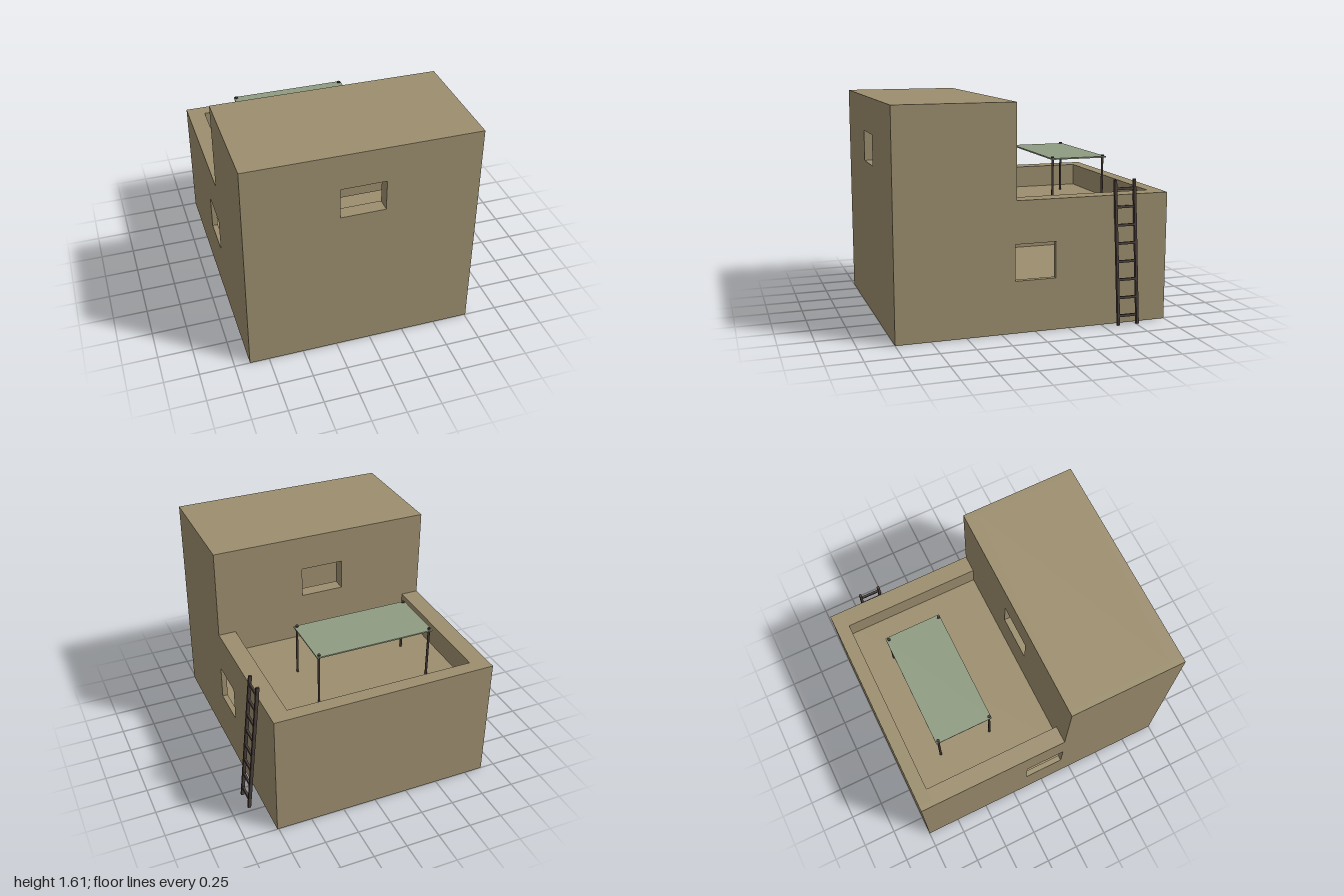
import * as THREE from 'three';

const clay = new THREE.MeshStandardMaterial({ color: 0x9c8e6e });
clay.name = 'clay';
const cloth = new THREE.MeshStandardMaterial({ color: 0x8f9b82 });
cloth.name = 'cloth';
const darkWood = new THREE.MeshStandardMaterial({ color: 0x463c38 });
darkWood.name = 'darkWood';

// House extents
const X0 = -0.89, X1 = 0.76, SKIN = 0.04, WALL = 0.13;
const TERRACE = 0.77, PARAPET = 0.94, TOP = 1.61, STEP = 0.14;

function add(parent, name, geometry, material) {
  const mesh = new THREE.Mesh(geometry, material);
  mesh.name = name;
  parent.add(mesh);
  return mesh;
}

// Box given by its minimum and maximum corners
function block(parent, name, [x0, y0, z0], [x1, y1, z1], material = clay) {
  const g = new THREE.BoxGeometry(x1 - x0, y1 - y0, z1 - z0);
  g.translate((x0 + x1) / 2, (y0 + y1) / 2, (z0 + z1) / 2);
  return add(parent, name, g, material);
}

// Flat wall outline with one rectangular window [u0, v0, u1, v1]
function wallGeometry(outline, [u0, v0, u1, v1], depth) {
  const shape = new THREE.Shape(outline.map(([u, v]) => new THREE.Vector2(u, v)));
  const hole = [[u0, v0], [u0, v1], [u1, v1], [u1, v0]];
  shape.holes.push(new THREE.Path(hole.map(([u, v]) => new THREE.Vector2(u, v))));
  return new THREE.ExtrudeGeometry(shape, { depth, bevelEnabled: false });
}

function createHouse() {
  const house = new THREE.Group();
  house.name = 'house';
  const in0 = X0 + SKIN, in1 = X1 - SKIN;

  // Stepped side walls
  const profile = [[-1, 0], [1, 0], [1, TOP], [STEP, TOP], [STEP, PARAPET], [-1, PARAPET]];
  for (const [name, x] of [['leftWall', X1], ['rightWall', in0]]) {
    const g = wallGeometry(profile, [-0.15, 0.375, 0.15, 0.635], SKIN);
    g.rotateY(-Math.PI / 2);
    add(house, name, g, clay).position.x = x;
  }

  // Front wall and the upper wall facing the terrace
  const upperWindow = [-0.23, 1.125, 0.09, 1.35];
  const rect = (y0) => [[in0, y0], [in1, y0], [in1, TOP], [in0, TOP]];
  add(house, 'frontWall', wallGeometry(rect(0), upperWindow, 0.1), clay).position.z = 0.9;
  add(house, 'terraceWall', wallGeometry(rect(TERRACE - 0.06), upperWindow, 0.1), clay).position.z = STEP;

  // Back wall, floors and roof
  block(house, 'backWall', [in0, 0, -1], [in1, PARAPET, -0.9]);
  block(house, 'groundFloor', [in0, 0, -0.9], [in1, 0.22, 0.9]);
  block(house, 'terraceFloor', [in0, TERRACE - 0.06, -0.9], [in1, TERRACE, STEP]);
  block(house, 'roof', [in0, TOP - 0.08, STEP + 0.1], [in1, TOP, 0.9]);

  // Thicker parapets and upper room walls
  for (const [a, b] of [[in0, X0 + WALL], [X1 - WALL, in1]]) {
    block(house, 'parapet', [a, TERRACE, -0.9], [b, PARAPET, STEP]);
    block(house, 'upperRoomWall', [a, PARAPET, STEP + 0.1], [b, TOP - 0.08, 0.9]);
  }
  return house;
}

function createCanopy() {
  const canopy = new THREE.Group();
  canopy.name = 'canopy';
  block(canopy, 'canopySheet', [-0.55, 1.146, -0.71], [0.33, 1.156, -0.28], cloth);
  for (const x of [-0.533, 0.31]) {
    for (const z of [-0.69, -0.293]) {
      const pole = new THREE.CylinderGeometry(0.009, 0.009, 1.162 - TERRACE, 8);
      add(canopy, 'canopyPole', pole, darkWood).position.set(x, (1.162 + TERRACE) / 2, z);
      const cap = new THREE.CylinderGeometry(0.012, 0.012, 0.012, 8);
      add(canopy, 'poleCap', cap, darkWood).position.set(x, 1.16, z);
    }
  }
  return canopy;
}

function createLadder() {
  const ladder = new THREE.Group();
  ladder.name = 'ladder';
  const bottom = new THREE.Vector2(0.873, 0.02), top = new THREE.Vector2(0.77, 1.05);
  const length = bottom.distanceTo(top);
  // Built upright around its centre, then leaned against the wall
  for (const z of [-0.073, 0.073]) {
    const rail = new THREE.BoxGeometry(0.023, length, 0.018);
    add(ladder, 'ladderRail', rail, darkWood).position.z = z;
  }
  for (let i = 0; i < 8; i++) {
    const rung = new THREE.BoxGeometry(0.016, 0.018, 0.146);
    add(ladder, 'ladderRung', rung, darkWood).position.y = -length / 2 + 0.068 + i * 0.129;
  }
  ladder.position.set((bottom.x + top.x) / 2, (bottom.y + top.y) / 2, -0.658);
  ladder.rotation.z = Math.atan2(bottom.x - top.x, top.y - bottom.y);
  return ladder;
}

export function createModel() {
  const model = new THREE.Group();
  model.name = 'clayHouse';
  model.add(createHouse(), createCanopy(), createLadder());
  return model;
}
